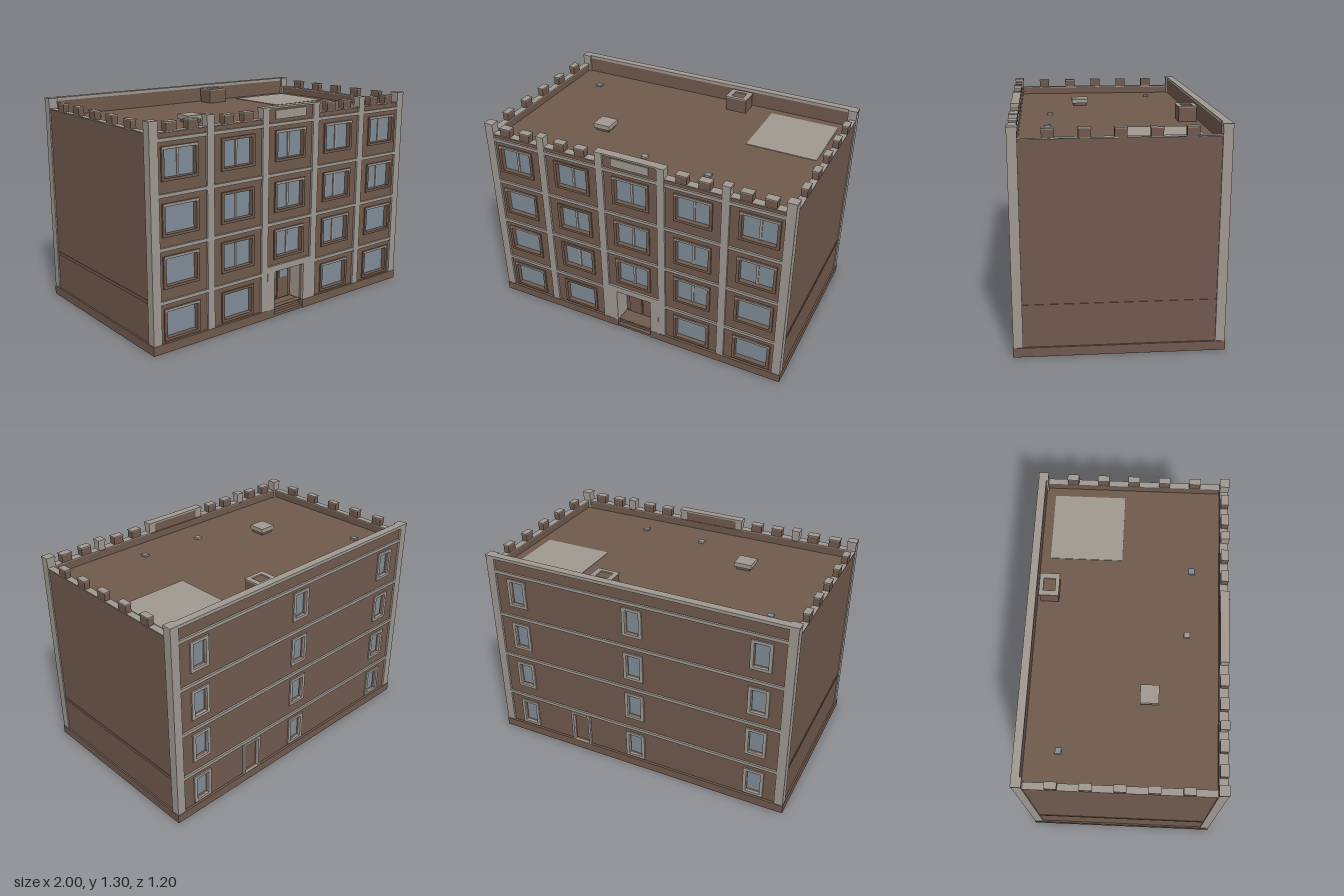
import * as THREE from 'three';

export function createModel() {
  const model = new THREE.Group();
  const mat = (name, color) => {
    const m = new THREE.MeshStandardMaterial({ color });
    m.name = name;
    return m;
  };
  const brick = mat('brown brick', 0x70594d);
  const stone = mat('pale stone', 0x9f9890);
  const glass = mat('blue grey glass', 0x7f8c97);

  const add = (name, geometry, material, parent = model) => {
    const mesh = new THREE.Mesh(geometry, material);
    mesh.name = name;
    parent.add(mesh);
    return mesh;
  };
  // Box given by its limits on each axis
  const box = (name, material, x0, x1, y0, y1, z0, z1, parent) => {
    const m = add(name, new THREE.BoxGeometry(x1 - x0, y1 - y0, z1 - z0), material, parent);
    m.position.set((x0 + x1) / 2, (y0 + y1) / 2, (z0 + z1) / 2);
    return m;
  };
  const rect = (P, x0, x1, y0, y1) => {
    const p = new P();
    p.moveTo(x0, y0);
    p.lineTo(x1, y0);
    p.lineTo(x1, y1);
    p.lineTo(x0, y1);
    p.closePath();
    return p;
  };
  // Upright panel with rectangular openings
  const panel = (name, material, outer, holes, z0, z1, parent) => {
    const s = rect(THREE.Shape, ...outer);
    for (const h of holes) s.holes.push(rect(THREE.Path, ...h));
    const g = new THREE.ExtrudeGeometry(s, { depth: z1 - z0, bevelEnabled: false });
    g.translate(0, 0, z0);
    return add(name, g, material, parent);
  };

  const rows = [0.16, 0.465, 0.76, 1.07];      // window centres by storey
  const bands = [0.295, 0.6, 0.9, 1.2];        // string course heights
  const H = 1.305, EAVE = 1.24, ROOF = 1.19;

  // Base, side walls and roof
  box('base', brick, -1, 1, 0, 0.055, -0.6, 0.48);
  for (const s of [-1, 1]) {
    box('frontBase', brick, s < 0 ? -1 : 0.12, s < 0 ? -0.12 : 1, 0, 0.055, 0.48, 0.6);
    const side = (name, m, a, b, ...r) => box(name, m, Math.min(s * a, s * b), Math.max(s * a, s * b), ...r);
    side('sideWall', brick, 0.96, 0.99, 0.055, EAVE - 0.004, -0.56, 0.56);
    side('sideBand', brick, 0.98, 0.994, 0.29, 0.31, -0.54, 0.54);
    side('sideCoping', stone, 0.955, 0.997, EAVE - 0.004, EAVE + 0.002, -0.545, 0.545);
    for (let i = -2; i <= 2; i++) {
      const z = i * 0.192;
      side('sideMerlon', brick, 0.96, 0.996, EAVE, 1.288, z - 0.034, z + 0.034);
      side('sideMerlonCap', stone, 0.957, 0.999, 1.288, 1.294, z - 0.036, z + 0.036);
    }
    // Corner pillars
    for (const t of [-1, 1]) {
      const x = s * 0.97, z = t * 0.57;
      box('cornerPillar', stone, x - 0.0275, x + 0.0275, 0.055, 1.29, z - 0.0275, z + 0.0275);
      box('cornerCap', stone, x - 0.03, x + 0.03, 1.29, H, z - 0.03, z + 0.03);
    }
  }
  box('roof', brick, -0.965, 0.965, ROOF - 0.03, ROOF, -0.565, 0.565);

  // Front facade with window openings and entrance
  const front = new THREE.Group();
  front.name = 'frontFacade';
  model.add(front);
  const columns = [-0.8, -0.4, 0, 0.4, 0.8];
  const GW = 0.103, GH = 0.078;
  const openings = [[-0.12, 0.12, 0.056, 0.295]];
  columns.forEach((x, c) => rows.forEach((y, r) => {
    if (c === 2 && r === 0) return;
    openings.push([x - GW, x + GW, y - GH, y + GH]);
    box('windowGlass', glass, x - GW, x + GW, y - GH, y + GH, 0.558, 0.564, front);
    panel('windowFrame', brick, [x - 0.121, x + 0.121, y - 0.094, y + 0.094],
      [[x - GW, x + GW, y - GH, y + GH]], 0.583, 0.594, front);
    if (c !== 1) box('lintel', stone, x - 0.117, x + 0.117, y + 0.08, y + 0.093, 0.585, 0.597, front);
    if (r === 3 || (r === 2 && c > 0) || (r === 1 && c > 0 && c < 4)) {
      box('mullion', stone, x - 0.007, x + 0.007, y - GH, y + GH, 0.564, 0.57, front);
    }
  }));
  panel('frontWall', brick, [-0.96, 0.96, 0.055, EAVE - 0.004], openings, 0.545, 0.585, front);

  // Front pillars, string courses, coping and merlons
  for (const x of [-0.6, -0.2, 0.2, 0.6]) {
    box('frontPillar', stone, x - 0.024, x + 0.024, 0.055, 1.29, 0.55, 0.598, front);
    box('frontPillarCap', stone, x - 0.026, x + 0.026, 1.29, H, 0.545, 0.6, front);
  }
  for (const x of columns) {
    for (const y of bands) {
      if (x === 0 && y < 0.5) continue;
      box('frontBand', stone, x - 0.18, x + 0.18, y - 0.01, y + 0.01, 0.58, 0.597, front);
    }
    if (x === 0) continue;
    box('frontCoping', stone, x - 0.18, x + 0.18, EAVE - 0.004, EAVE + 0.002, 0.545, 0.597, front);
    for (const d of [-0.07, 0.07]) {
      const m = x + d + (x < 0 ? 0.01 : -0.01) * (Math.abs(x) > 0.5 ? 1.5 : 0);
      box('frontMerlon', brick, m - 0.034, m + 0.034, EAVE, 1.288, 0.55, 0.594, front);
      box('frontMerlonCap', stone, m - 0.036, m + 0.036, 1.288, 1.294, 0.547, 0.597, front);
    }
  }

  // Raised centre parapet with blank stone plate
  box('centreParapet', brick, -0.18, 0.18, EAVE - 0.01, 1.294, 0.55, 0.585, front);
  box('centreCoping', stone, -0.18, 0.18, 1.294, H, 0.545, 0.597, front);
  box('parapetPlate', stone, -0.122, 0.122, 1.23, 1.284, 0.585, 0.592, front);

  // Entrance: stone surround, recess, steps and double door
  const entrance = new THREE.Group();
  entrance.name = 'entrance';
  front.add(entrance);
  for (const s of [-1, 1]) {
    box('entranceJamb', stone, s < 0 ? -0.176 : 0.12, s < 0 ? -0.12 : 0.176, 0.055, 0.335, 0.47, 0.599, entrance);
    const x = s * 0.049;
    box('doorLeaf', brick, x - 0.045, x + 0.045, 0.055, 0.29, 0.475, 0.487, entrance);
    box('doorGlass', glass, x - 0.032, x + 0.032, 0.195, 0.267, 0.486, 0.491, entrance);
  }
  box('entranceLintel', stone, -0.12, 0.12, 0.295, 0.335, 0.47, 0.599, entrance);
  box('entranceBack', brick, -0.12, 0.12, 0.05, 0.295, 0.465, 0.477, entrance);
  [0.05, 0.034, 0.017].forEach((h, i) =>
    box('step', brick, -0.12, 0.12, 0, h, 0.48, 0.55 + i * 0.023, entrance));

  // Back facade with narrow windows and service door
  const back = new THREE.Group();
  back.name = 'backFacade';
  model.add(back);
  const backOpenings = [[0.345, 0.455, 0.056, 0.265]];
  for (const x of [-0.8, 0, 0.8]) for (const y of rows) {
    const hole = [x - 0.045, x + 0.045, y - 0.077, y + 0.077];
    backOpenings.push(hole);
    box('backGlass', glass, ...hole, -0.566, -0.56, back);
    panel('backWindowFrame', stone, [x - 0.065, x + 0.065, y - 0.095, y + 0.095], [hole], -0.594, -0.58, back);
  }
  panel('backWall', brick, [-0.96, 0.96, 0.055, 1.285], backOpenings, -0.585, -0.555, back);
  panel('backDoorFrame', stone, [0.33, 0.47, 0.055, 0.28], [[0.345, 0.455, 0.056, 0.265]], -0.599, -0.58, back);
  box('backDoor', brick, 0.345, 0.455, 0.055, 0.265, -0.57, -0.56, back);
  for (const y of bands) {
    // Lowest course stays clear above the door frame
    box('backBand', stone, -0.945, 0.945, y - 0.01, y + 0.01, -0.597, -0.58, back);
  }
  box('backCoping', stone, -0.945, 0.945, 1.285, H, -0.6, -0.552, back);

  // Roof fittings
  box('roofSlab', stone, 0.457, 0.902, ROOF, ROOF + 0.004, -0.497, -0.053);
  box('chimney', brick, 0.165, 0.302, ROOF, 1.278, -0.535, -0.425);
  const cap = panel('chimneyCap', stone, [0.161, 0.306, 0.42, 0.54], [[0.193, 0.273, 0.444, 0.515]], 0, 0.008);
  cap.rotation.x = -Math.PI / 2;
  cap.position.y = 1.278;
  box('ventBody', brick, -0.458, -0.37, ROOF, 1.215, 0.1, 0.19);
  box('ventCap', stone, -0.47, -0.358, 1.208, 1.236, 0.09, 0.2);
  for (const [x, z, m] of [[-0.762, -0.362, glass], [0.398, 0.377, glass], [-0.024, 0.355, stone]]) {
    box('roofOutlet', m, x - 0.018, x + 0.018, ROOF, ROOF + 0.012, z - 0.018, z + 0.018);
  }
  return model;
}
